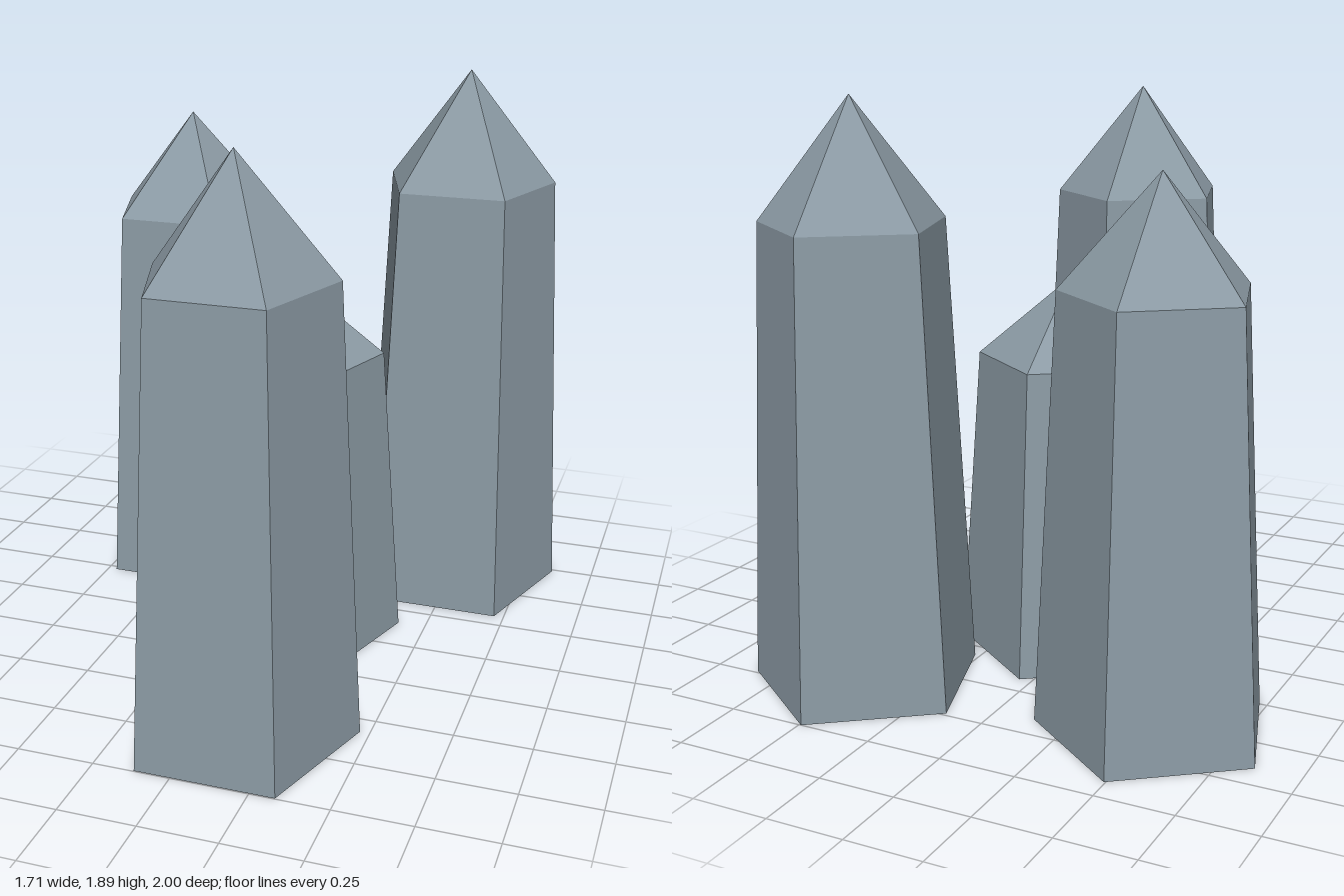
import * as THREE from 'three';

const BASE_RADIUS = 0.38;
const SHOULDER_RADIUS = 0.306;

// Five-sided tapering shaft with a pointed tip; one edge faces the back
function crystal(name, x, z, shoulder, tip, material) {
  const profile = [
    [0, 0],
    [BASE_RADIUS, 0],
    [SHOULDER_RADIUS, shoulder],
    [0, tip],
  ].map(([r, y]) => new THREE.Vector2(r, y));
  const flat = new THREE.LatheGeometry(profile, 5, Math.PI).toNonIndexed();
  flat.computeVertexNormals(); // facet normals
  const mesh = new THREE.Mesh(flat, material);
  mesh.name = name;
  mesh.position.set(x, 0, z);
  return mesh;
}

export function createModel() {
  const group = new THREE.Group();
  group.name = 'crystalCluster';

  const stone = new THREE.MeshStandardMaterial({ color: 0x8c9ba5, flatShading: true });
  stone.name = 'blue grey stone';

  // name, x, z, shoulder height, tip height
  const crystals = [
    ['frontCrystal', 0.107, 0.69, 1.465, 1.845],
    ['backRightCrystal', -0.495, -0.537, 1.355, 1.705],
    ['backLeftCrystal', 0.493, -0.62, 1.5, 1.89],
    ['shortMiddleCrystal', 0.043, -0.04, 1.01, 1.27],
  ];
  for (const spec of crystals) group.add(crystal(...spec, stone));

  return group;
}
